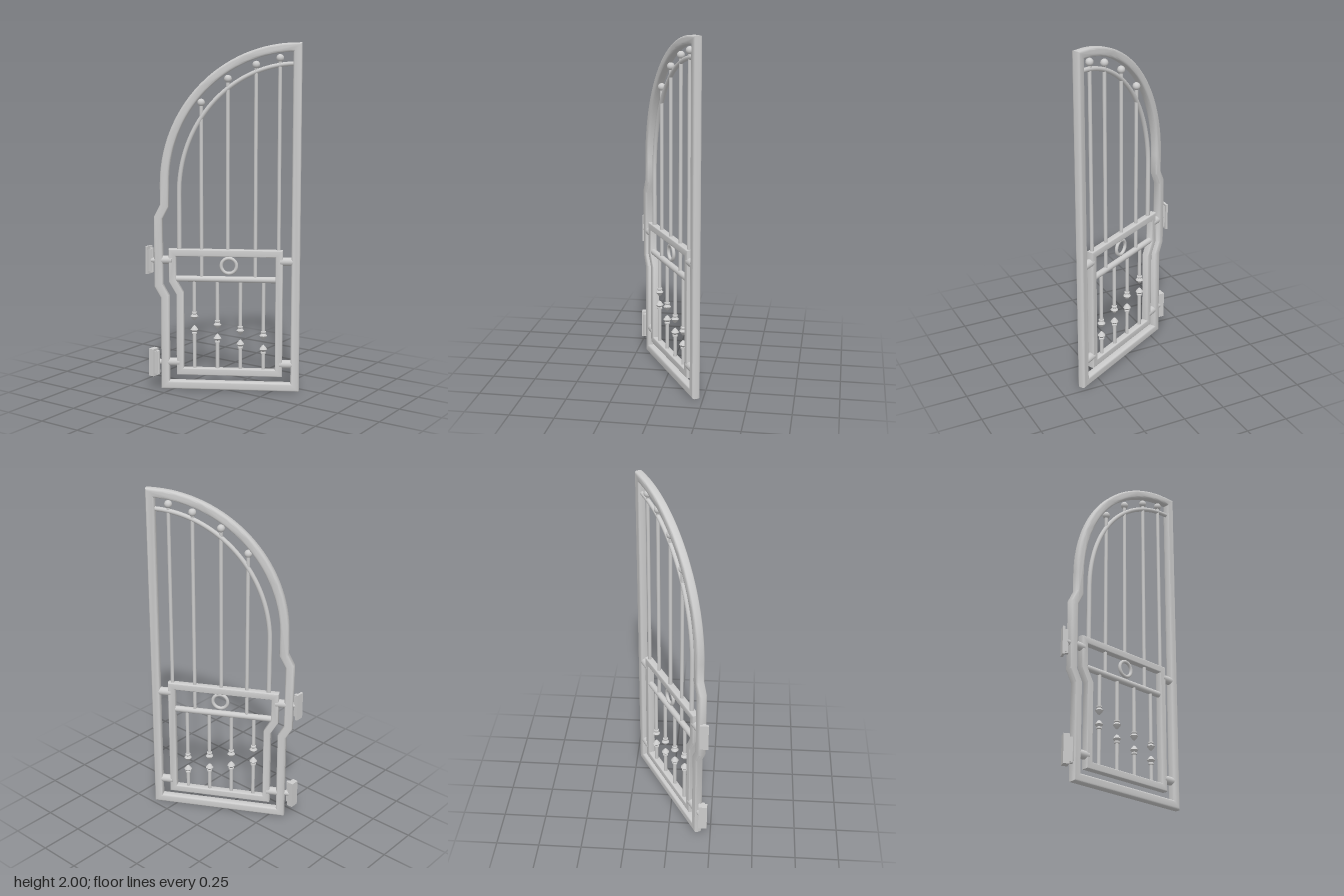
import * as THREE from 'three';
import { toCreasedNormals } from 'three/addons/utils/BufferGeometryUtils.js';

const material = new THREE.MeshStandardMaterial({ color: 0xcccccc });
const ANGLE = THREE.MathUtils.degToRad(29.3); // the gate leaf stands ajar

function add(parent, name, geometry, x = 0, y = 0, z = 0) {
  const mesh = new THREE.Mesh(geometry, material);
  mesh.name = name;
  mesh.position.set(x, y, z);
  parent.add(mesh);
  return mesh;
}

// Mitred offset of a closed counter-clockwise outline (positive = outward)
function offset(points, d) {
  const n = points.length;
  return points.map((p, i) => {
    const a = p.clone().sub(points[(i + n - 1) % n]).normalize();
    const b = points[(i + 1) % n].clone().sub(p).normalize();
    const na = new THREE.Vector2(a.y, -a.x);
    const nb = new THREE.Vector2(b.y, -b.x);
    const k = d / (1 + na.dot(nb));
    return p.clone().add(na.add(nb).multiplyScalar(k));
  });
}

// Closed frame of square bar with rounded edges, following a centre line
function frameGeometry(points, width, depth, bevel) {
  const shape = new THREE.Shape(offset(points, width / 2 - bevel));
  shape.holes.push(new THREE.Path(offset(points, bevel - width / 2)));
  const geo = new THREE.ExtrudeGeometry(shape, {
    depth: depth - 2 * bevel, bevelEnabled: true, bevelSize: bevel,
    bevelThickness: bevel, bevelSegments: 3,
  });
  geo.translate(0, 0, bevel - depth / 2);
  return toCreasedNormals(geo, 0.6);
}

// Quarter ellipse from its top to its left side
function quarterArc(cx, cy, rx, ry, n) {
  return Array.from({ length: n + 1 }, (_, i) => {
    const t = Math.PI / 2 * (1 + i / n);
    return new THREE.Vector2(cx + rx * Math.cos(t), cy + ry * Math.sin(t));
  });
}

function uprightRod(parent, name, x, y0, y1, r) {
  add(parent, name, new THREE.CylinderGeometry(r, r, y1 - y0, 12), x, (y0 + y1) / 2);
}

function crossRod(parent, name, x0, x1, y, r) {
  add(parent, name, new THREE.CylinderGeometry(r, r, x1 - x0, 16), (x0 + x1) / 2, y)
    .rotation.z = Math.PI / 2;
}

const v = (x, y) => new THREE.Vector2(x, y);

export function createModel() {
  const model = new THREE.Group();
  model.name = 'gate';
  const leaf = new THREE.Group();
  leaf.name = 'gateLeaf';
  leaf.rotation.y = ANGLE;
  model.add(leaf);

  // Outer frame with arched top and a kink on the hinge side
  add(leaf, 'outerFrame', frameGeometry([
    v(-0.342, 0.025), v(0.41, 0.025), ...quarterArc(0.41, 1.2, 0.752, 0.776, 32),
    v(-0.342, 1.08), v(-0.378, 1.01), v(-0.378, 0.615), v(-0.342, 0.55),
  ], 0.05, 0.048, 0.012));

  // Inner box frame
  add(leaf, 'innerFrame', frameGeometry([
    v(-0.255, 0.107), v(0.316, 0.107), v(0.316, 0.81), v(-0.298, 0.81),
    v(-0.298, 0.645), v(-0.255, 0.57),
  ], 0.042, 0.042, 0.007));
  crossRod(leaf, 'middleRail', -0.29, 0.31, 0.656, 0.018);

  // Thin rail that follows the arch
  const rail = new THREE.CurvePath();
  const arc = quarterArc(0.41, 1.15, 0.668, 0.735, 24).map(p => new THREE.Vector3(p.x, p.y, 0));
  rail.add(new THREE.CatmullRomCurve3(arc));
  rail.add(new THREE.LineCurve3(arc[24], new THREE.Vector3(-0.258, 0.81, 0)));
  add(leaf, 'archRail', new THREE.TubeGeometry(rail, 60, 0.013, 10));

  // Tall rods topped with balls
  const tallRods = [[-0.13, 0.66, 1.667], [0.021, 0.81, 1.8], [0.179, 0.66, 1.878], [0.312, 0.81, 1.915]];
  for (const [x, y0, y1] of tallRods) {
    uprightRod(leaf, 'tallRod', x, y0, y1, 0.0105);
    add(leaf, 'rodBall', new THREE.SphereGeometry(0.022, 16, 12), x, y1);
  }

  // Ring in the upper panel
  add(leaf, 'ring', new THREE.TorusGeometry(0.044, 0.01, 10, 32), 0.027, 0.735);

  // Facing pairs of short rods with pointed finials
  const finial = toCreasedNormals(new THREE.LatheGeometry([
    v(0, 0.013), v(0.009, 0.02), v(0.023, 0.04), v(0.012, 0.053),
    v(0.016, 0.057), v(0.016, 0.065), v(0.0095, 0.068),
  ].reverse(), 12), 0.6);
  const pairs = [[-0.173, 0.395], [-0.039, 0.347], [0.094, 0.315], [0.227, 0.287]];
  for (const [x, y] of pairs) {
    uprightRod(leaf, 'upperShortRod', x, y + 0.05, 0.65, 0.0105);
    uprightRod(leaf, 'lowerShortRod', x, 0.11, y - 0.05, 0.0105);
    const upper = add(leaf, 'upperFinial', finial, x, y);
    const lower = add(leaf, 'lowerFinial', finial, x, y);
    lower.rotation.x = Math.PI;
    upper.material = lower.material = finialMaterial;
  }

  // Pins that join the inner frame to the outer frame
  crossRod(leaf, 'leftUpperPin', -0.37, -0.3, 0.765, 0.024);
  crossRod(leaf, 'leftLowerPin', -0.335, -0.258, 0.16, 0.024);
  for (const y of [0.765, 0.16]) crossRod(leaf, 'rightPin', 0.32, 0.405, y, 0.024);

  // Hinges, square to the wall
  for (const [x, y, w] of [[-0.392, 0.763, 0.014], [-0.375, 0.158, 0.034]]) {
    add(model, 'hingePlate', new THREE.BoxGeometry(w, 0.162, 0.05), x + w / 2, y, 0.205);
    add(model, 'hingeLug', new THREE.BoxGeometry(0.018, 0.13, 0.03), x + w + 0.009, y, 0.205);
    add(model, 'hingeBarrel', new THREE.CylinderGeometry(0.012, 0.012, 0.14, 12), x + w + 0.013, y, 0.205);
  }
  crossRod(leaf, 'upperHingePin', -0.425, -0.38, 0.763, 0.016);
  crossRod(leaf, 'lowerHingePin', -0.41, -0.345, 0.158, 0.016);
  return model;
}

// Lathed finials are drawn from both sides
const finialMaterial = new THREE.MeshStandardMaterial({ color: 0xcccccc, side: THREE.DoubleSide });
